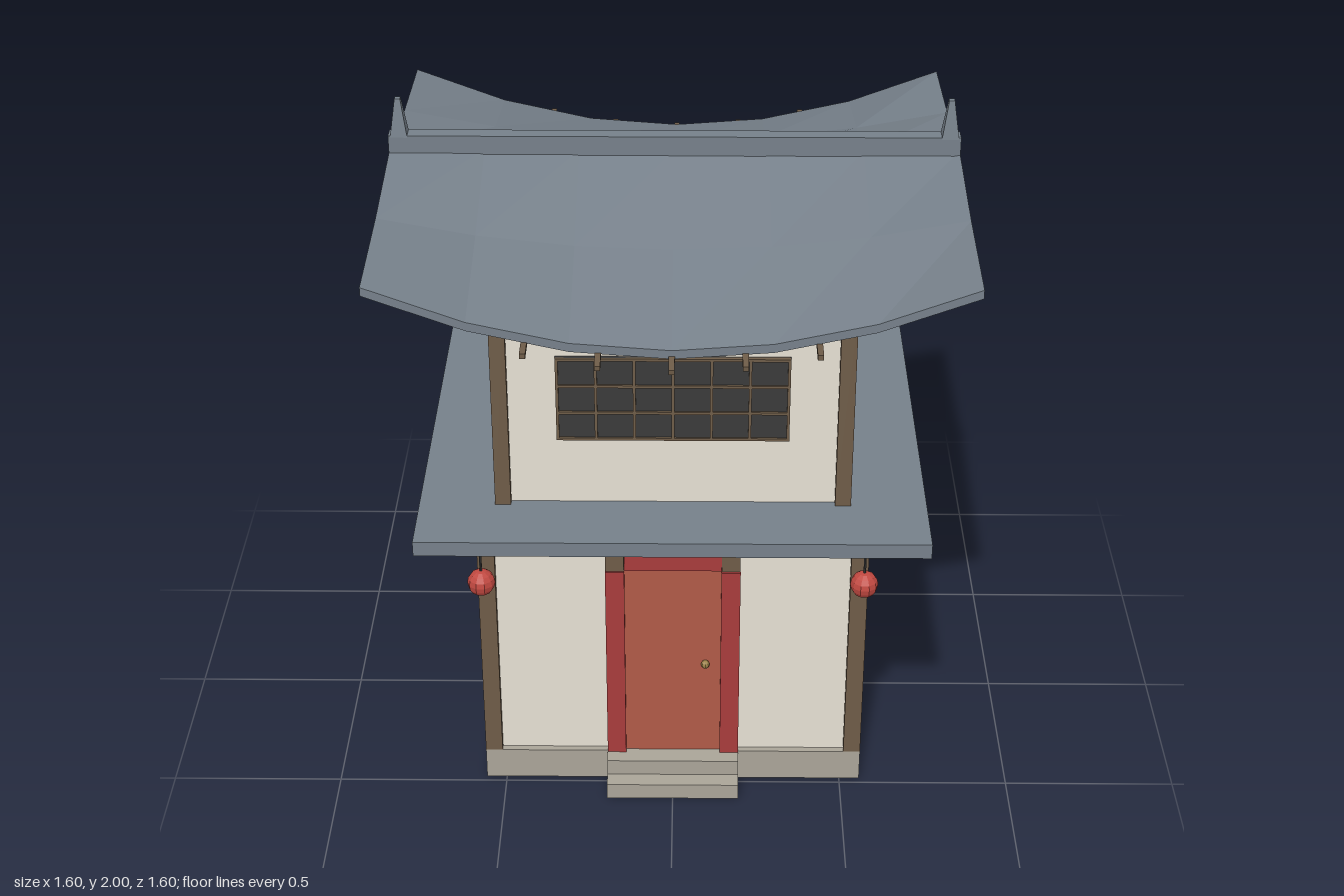
import * as THREE from 'three';

const mat = (color) => new THREE.MeshStandardMaterial({ color, flatShading: true });

export function createModel() {
  const house = new THREE.Group();
  house.name = 'twoStoreyHouse';
  const plaster = mat(0xe6e0d3), wood = mat(0x6e5c48), stone = mat(0xaaa498), tile = mat(0x76808a);
  const dark = mat(0x3a3a3a), red = mat(0xa83c3c), doorRed = mat(0xb05a48), brass = mat(0x9a8048);
  const lanternRed = mat(0xc04840);

  const add = (parent, name, geometry, material, x = 0, y = 0, z = 0) => {
    const m = new THREE.Mesh(geometry, material);
    m.name = name;
    m.position.set(x, y, z);
    parent.add(m);
    return m;
  };
  // box given by its width, bottom, top and depth
  const block = (parent, name, material, w, y0, y1, d, x = 0, z = 0) =>
    add(parent, name, new THREE.BoxGeometry(w, y1 - y0, d), material, x, (y0 + y1) / 2, z);

  // stone base and entrance steps
  block(house, 'base', stone, 1.12, 0, 0.1, 0.96);
  block(house, 'lowerStep', stone, 0.39, 0, 0.05, 0.12, 0, 0.52);
  block(house, 'upperStep', stone, 0.39, 0, 0.1, 0.07, 0, 0.495);

  // two storeys with a flat tiled skirt between them
  block(house, 'lowerWalls', plaster, 1.08, 0.1, 0.9, 0.92);
  block(house, 'skirtRoof', tile, 1.44, 0.9, 0.945, 1.28);
  block(house, 'upperWalls', plaster, 0.96, 0.945, 1.58, 0.84);
  block(house, 'topBeam', wood, 0.995, 1.58, 1.605, 0.87);
  for (const sx of [-1, 1]) for (const sz of [-1, 1]) {
    block(house, 'lowerPost', wood, 0.05, 0.1, 0.9, 0.05, sx * 0.535, sz * 0.455);
    block(house, 'upperPost', wood, 0.045, 0.945, 1.58, 0.045, sx * 0.482, sz * 0.418);
  }

  // entrance
  const entrance = new THREE.Group();
  entrance.name = 'entrance';
  house.add(entrance);
  block(entrance, 'door', doorRed, 0.28, 0.1, 0.745, 0.02, 0, 0.462);
  block(entrance, 'doorLintel', red, 0.28, 0.745, 0.797, 0.03, 0, 0.462);
  for (const s of [-1, 1]) {
    block(entrance, 'doorPost', wood, 0.053, 0.1, 0.9, 0.04, s * 0.167, 0.46);
    block(entrance, 'doorJamb', red, 0.055, 0.1, 0.745, 0.04, s * 0.167, 0.467);
  }
  add(entrance, 'doorKnob', new THREE.SphereGeometry(0.013, 8, 6), brass, 0.095, 0.42, 0.481);

  // wide lattice window: 6 by 3 panes
  const lattice = new THREE.Group();
  lattice.name = 'latticeWindow';
  lattice.position.set(0, 1.285, 0.42);
  house.add(lattice);
  add(lattice, 'pane', new THREE.BoxGeometry(0.65, 0.26, 0.02), dark);
  for (let i = 0; i <= 6; i++)
    add(lattice, 'mullion', new THREE.BoxGeometry(0.008, 0.26, 0.012), wood, -0.321 + i * 0.107, 0, 0.01);
  for (let i = 0; i <= 3; i++)
    add(lattice, 'crossbar', new THREE.BoxGeometry(0.65, 0.008, 0.012), wood, 0, -0.126 + i * 0.084, 0.01);

  // small barred windows on the sides and back
  const barredWindow = (w, h, x, y, z, turn) => {
    const g = new THREE.Group();
    g.name = 'barredWindow';
    g.position.set(x, y, z);
    g.rotation.y = turn;
    add(g, 'pane', new THREE.BoxGeometry(w, h, 0.02), dark);
    for (const k of [-0.37, 0, 0.37])
      add(g, 'bar', new THREE.BoxGeometry(0.014, h, 0.014), dark, k * w, 0, 0.012);
    house.add(g);
  };
  for (const s of [-1, 1]) {
    barredWindow(0.19, 0.13, s * 0.54, 0.58, 0, s * Math.PI / 2);
    barredWindow(0.16, 0.16, s * 0.48, 1.285, 0, s * Math.PI / 2);
    barredWindow(0.19, 0.13, s * 0.32, 0.58, -0.46, Math.PI);
  }

  // lanterns hanging from the skirt
  for (const s of [-1, 1]) {
    add(house, 'lantern', new THREE.SphereGeometry(0.04, 10, 8), lanternRed, s * 0.545, 0.74, 0.53);
    add(house, 'lanternCord', new THREE.CylinderGeometry(0.004, 0.004, 0.13, 6), dark, s * 0.545, 0.84, 0.53);
  }

  // curved roof: sags towards the middle of the eaves, lifts at the corners
  const roof = new THREE.BoxGeometry(1.6, 0.025, 1.47, 6, 1, 4);
  const p = roof.attributes.position;
  for (let i = 0; i < p.count; i++) {
    const u = p.getX(i) / 0.8, t = Math.abs(p.getZ(i)) / 0.735;
    const slope = 1.833 - 0.28 * t + 0.04 * t * t;
    p.setY(i, p.getY(i) + slope + 0.18 * u * u * t);
  }
  roof.computeVertexNormals();
  add(house, 'mainRoof', roof, tile);

  // ridge and its tapered finials
  block(house, 'ridge', tile, 1.6, 1.835, 1.895, 0.046);
  for (const s of [-1, 1]) {
    const f = new THREE.CylinderGeometry(0.011, 0.034, 0.11, 4);
    f.rotateY(Math.PI / 4);
    add(house, 'finial', f, tile, s * 0.77, 1.945, 0);
  }

  // gable panels under the roof ends
  const gable = new THREE.Shape([[-0.415, 1.6], [0.415, 1.6], [0.415, 1.7], [0, 1.82], [-0.415, 1.7]]
    .map(([x, y]) => new THREE.Vector2(x, y)));
  for (const s of [-1, 1]) {
    const g = new THREE.ExtrudeGeometry(gable, { depth: 0.02, bevelEnabled: false });
    g.translate(0, 0, -0.01);
    g.rotateY(Math.PI / 2);
    add(house, 'gable', g, plaster, s * 0.48, 0, 0);
  }

  // rafters reaching past the eaves, their tips following the eave curve
  for (const s of [-1, 1]) for (let i = -2; i <= 2; i++) {
    const rise = 0.0115 * i * i;
    const a = new THREE.Vector3(i * 0.192, 1.611, s * 0.4);
    const b = new THREE.Vector3(i * 0.192, 1.576 + rise, s * 0.8);
    const r = add(house, 'rafter', new THREE.BoxGeometry(0.016, 0.014, a.distanceTo(b)), wood);
    r.position.lerpVectors(a, b, 0.5);
    r.lookAt(b);
  }
  return house;
}
